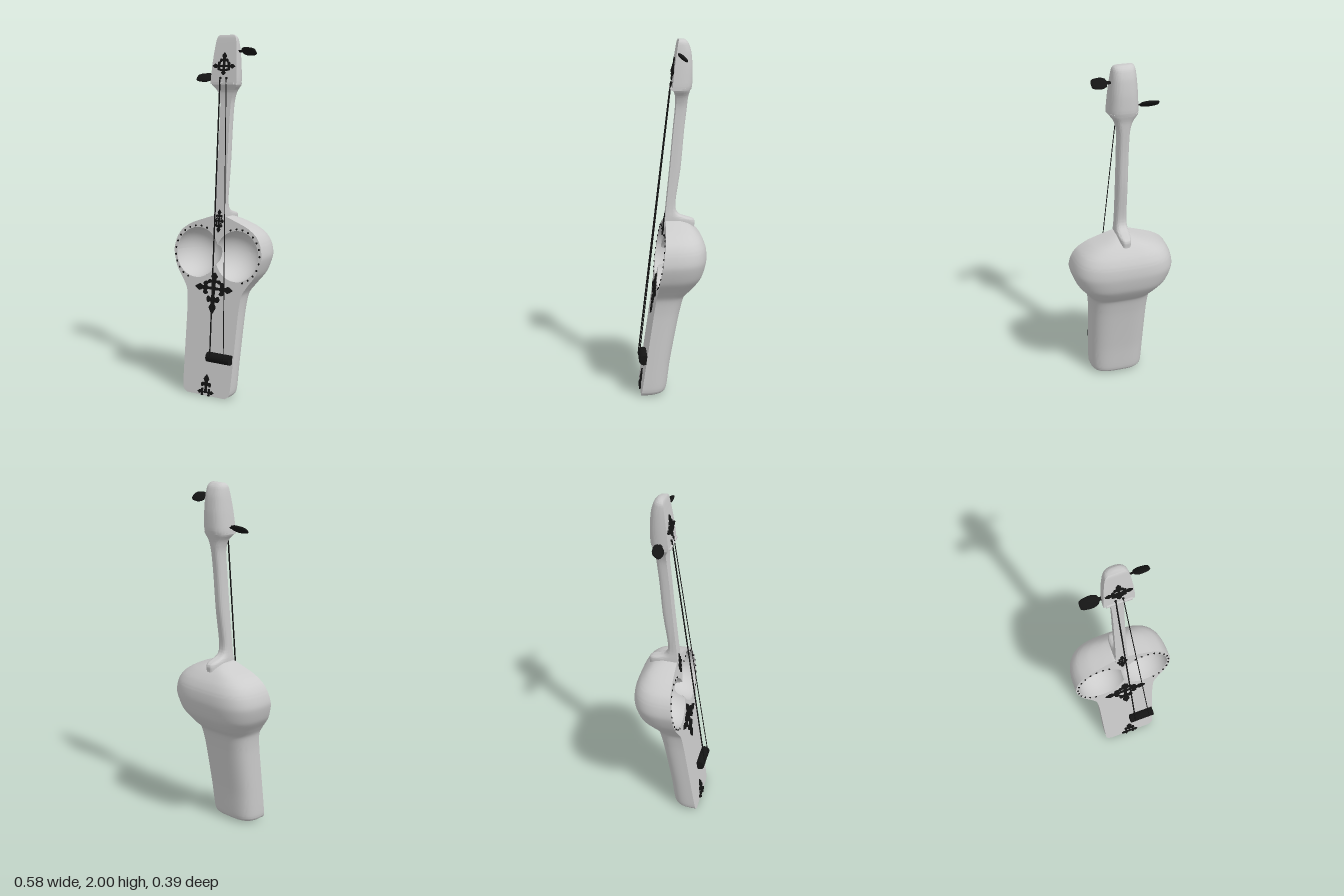
import * as THREE from 'three';
import { toCreasedNormals } from 'three/addons/utils/BufferGeometryUtils.js';

const grey = new THREE.MeshStandardMaterial({ color: 0xcccccc });
const greyThin = new THREE.MeshStandardMaterial({ color: 0xcccccc, side: THREE.DoubleSide });
const black = new THREE.MeshStandardMaterial({ color: 0x141414 });

// The soundboard leans back as it rises
const boardZ = (y) => 0.18 - 0.147 * y;
const lobe = { x: 0.13, y: 0.79, r: 0.14, depth: 0.15 };

function add(parent, name, geometry, material) {
  const mesh = new THREE.Mesh(geometry, material);
  mesh.name = name;
  parent.add(mesh);
  return mesh;
}

// Smooth sections from keys of [height, half width, front z, depth]
function sections(keys, steps) {
  const curve = (f) => new THREE.CatmullRomCurve3(keys.map(f), false, 'catmullrom', 0.4);
  const a = curve((k) => new THREE.Vector3(k[1], k[0], k[2]));
  const b = curve((k) => new THREE.Vector3(k[3], k[0], 0));
  return Array.from({ length: steps + 1 }, (_, i) => {
    const p = a.getPoint(i / steps);
    return { y: p.y, w: p.x, z: p.z, d: b.getPoint(i / steps).x };
  });
}

// Skin over sections with a flat front and a rounded back
function loft(secs, power, closedFront) {
  const n = 32, pos = [], idx = [];
  for (const s of secs) {
    for (let j = 0; j <= n; j++) {
      const t = (j / n) * Math.PI, c = Math.cos(t);
      pos.push(s.w * Math.sign(c) * Math.abs(c) ** power, s.y, s.z - s.d * Math.abs(Math.sin(t)) ** power);
    }
  }
  const row = n + 1, last = secs.length - 1;
  for (let i = 0; i < last; i++) {
    for (let j = 0; j < (closedFront ? row : n); j++) {
      const a = i * row + j, b = i * row + ((j + 1) % row);
      idx.push(a, b, b + row, a, b + row, a + row);
    }
  }
  // End caps
  for (const i of [0, last]) {
    const s = secs[i], centre = pos.length / 3;
    pos.push(0, s.y, s.z - s.d / 2);
    for (let j = 0; j < row; j++) {
      const a = i * row + j, b = i * row + ((j + 1) % row);
      if (i) idx.push(centre, a, b);
      else idx.push(centre, b, a);
    }
  }
  const g = new THREE.BufferGeometry();
  g.setAttribute('position', new THREE.Float32BufferAttribute(pos, 3));
  g.setIndex(idx);
  return toCreasedNormals(g, 0.7);
}

// Soundboard cut to the body outline, with the double opening
function soundboard(secs) {
  const shape = new THREE.Shape([
    ...secs.map((s) => new THREE.Vector2(s.w, s.y)),
    ...secs.slice().reverse().map((s) => new THREE.Vector2(-s.w, s.y)),
  ]);
  const a = Math.acos(-lobe.x / lobe.r), hole = new THREE.Path();
  hole.absarc(lobe.x, lobe.y, lobe.r, -a, a, false);
  hole.absarc(-lobe.x, lobe.y, lobe.r, Math.PI - a, Math.PI + a, false);
  shape.holes.push(hole);
  const g = new THREE.ShapeGeometry(shape, 40);
  const p = g.attributes.position;
  for (let i = 0; i < p.count; i++) p.setZ(i, boardZ(p.getY(i)));
  g.computeVertexNormals();
  return g;
}

// Spherical hollow, cut off at the ridge on the centre line
function hollow(side) {
  const g = new THREE.PlaneGeometry(1, 1, 64, 16);
  const p = g.attributes.position;
  for (let i = 0; i < p.count; i++) {
    const t = (p.getX(i) + 0.5) * Math.PI * 2, c = Math.cos(t);
    const reach = c < 0 ? Math.min(lobe.r, lobe.x / -c) : lobe.r;
    const r = reach * Math.sin((p.getY(i) + 0.5) * Math.PI / 2);
    const y = lobe.y + r * Math.sin(t);
    const dip = lobe.depth * Math.sqrt(Math.max(0, 1 - (r / lobe.r) ** 2));
    p.setXYZ(i, side * (lobe.x + r * c), y, boardZ(y) - dip);
  }
  g.computeVertexNormals();
  return g;
}

// Pointed leaf arm with two side curls, along +y, one unit long
const half = [[0.09, 0], [0.07, 0.3], [0.16, 0.36], [0.28, 0.3], [0.36, 0.42], [0.27, 0.54],
  [0.12, 0.52], [0.1, 0.6], [0.18, 0.74], [0.1, 0.87]];
const leaf = new THREE.Shape();
leaf.moveTo(0.09, 0);
leaf.splineThru([...half.slice(1), [0, 1]].map(([x, y]) => new THREE.Vector2(x, y)));
leaf.splineThru(half.slice().reverse().map(([x, y]) => new THREE.Vector2(-x, y)));
const leafGeometry = new THREE.ExtrudeGeometry(leaf, { depth: 1, bevelEnabled: false, curveSegments: 30 });

// Ornament of leaf arms: [angle, length, width]
function ornament(parent, name, y, z, tilt, arms) {
  const group = new THREE.Group();
  group.name = name;
  group.position.set(0, y, z);
  group.rotation.x = -Math.atan(tilt);
  for (const [angle, length, width] of arms) {
    const arm = add(group, 'leafArm', leafGeometry, black);
    arm.scale.set(width, length, 0.008);
    arm.rotation.z = angle;
  }
  parent.add(group);
}

function rod(parent, name, from, to, radius) {
  const path = new THREE.LineCurve3(new THREE.Vector3(...from), new THREE.Vector3(...to));
  add(parent, name, new THREE.TubeGeometry(path, 1, radius, 8), black);
}

// Flat tuning peg, tilted about its shaft
function peg(parent, name, side, y, z, length) {
  const profile = [[0.009, -0.03], [0.009, 0.014], [0.022, 0.02], [0.031, 0.04], [0.031, 0.06],
    [0.027, 0.085], [0.02, 0.097], [0, 0.1]].map(([r, h]) => new THREE.Vector2(r, h));
  const g = new THREE.LatheGeometry(profile, 20);
  g.scale(1.1, length / 0.1, 0.36);
  g.rotateZ(-side * Math.PI / 2);
  const mesh = add(parent, name, g, black);
  mesh.position.set(side * 0.076, y, z);
  mesh.rotation.x = side * 0.87;
}

export function createModel() {
  const model = new THREE.Group();
  model.name = 'stringedInstrument';

  // Body: narrow lower box swelling into a round bowl
  const bodyKeys = [[0.003, 0.125, 0.115], [0.018, 0.148, 0.137], [0.05, 0.157, 0.145], [0.2, 0.162, 0.143],
    [0.4, 0.167, 0.15], [0.5, 0.171, 0.156], [0.58, 0.182, 0.168], [0.63, 0.212, 0.207], [0.7, 0.262, 0.245],
    [0.79, 0.29, 0.256], [0.86, 0.277, 0.243], [0.91, 0.245, 0.215], [0.95, 0.185, 0.178],
    [0.98, 0.105, 0.14], [1.0, 0.045, 0.09]].map(([y, w, d]) => [y, w, boardZ(y), d]);
  const body = sections(bodyKeys, 84);
  add(model, 'bodyBack', loft(body, 0.6, false), grey);
  add(model, 'soundboard', soundboard(body), greyThin);

  for (const side of [1, -1]) {
    add(model, side > 0 ? 'leftHollow' : 'rightHollow', hollow(side), greyThin);
    // Studs around the opening
    for (let i = 0; i < 13; i++) {
      const t = THREE.MathUtils.degToRad(-70 + i * 15);
      const y = lobe.y + 0.149 * Math.sin(t);
      const stud = add(model, 'rimStud', new THREE.SphereGeometry(0.006, 10, 8), black);
      stud.position.set(side * (lobe.x + 0.149 * Math.cos(t)), y, boardZ(y));
    }
  }

  // Neck with its heel, flaring under the head
  add(model, 'neck', loft(sections([[0.96, 0.037, 0.041, 0.172], [1.003, 0.037, 0.037, 0.165],
    [1.03, 0.036, 0.033, 0.085], [1.06, 0.034, 0.03, 0.058], [1.12, 0.033, 0.024, 0.051],
    [1.3, 0.032, 0.006, 0.06], [1.5, 0.032, -0.012, 0.06], [1.63, 0.035, -0.025, 0.062],
    [1.69, 0.052, -0.026, 0.068], [1.725, 0.078, -0.012, 0.092], [1.74, 0.082, -0.004, 0.105]], 70), 0.6, true), grey);

  // Head
  add(model, 'head', loft(sections([[1.73, 0.084, -0.002, 0.108], [1.76, 0.084, -0.005, 0.111],
    [1.85, 0.078, -0.015, 0.103], [1.93, 0.07, -0.027, 0.084], [1.975, 0.063, -0.034, 0.064],
    [1.992, 0.055, -0.038, 0.048], [2.0, 0.042, -0.042, 0.034]], 36), 0.75, true), grey);
  const nut = add(model, 'nut', new THREE.BoxGeometry(0.14, 0.01, 0.016), grey);
  nut.position.set(0, 1.737, -0.002);
  peg(model, 'leftPeg', 1, 1.91, -0.055, 0.1);
  peg(model, 'rightPeg', -1, 1.765, -0.042, 0.122);

  // Bridge and strings
  rod(model, 'lowString', [-0.02, 1.765, 0], [0.035, 0.225, 0.19], 0.004);
  rod(model, 'highString', [0.02, 1.765, 0], [0.125, 0.225, 0.19], 0.0025);
  for (const x of [-0.02, 0.02]) {
    const pin = add(model, 'stringPin', new THREE.SphereGeometry(0.007, 10, 8), black);
    pin.position.set(x, 1.765, -0.003);
  }
  const bridge = add(model, 'bridge', new THREE.CylinderGeometry(0.028, 0.028, 0.15, 20), black);
  bridge.rotation.z = Math.PI / 2;
  bridge.position.set(0.081, 0.225, 0.163);

  // Ornaments
  const q = Math.PI / 2;
  const cross = (up, down, across, w) => [[0, up, w], [2 * q, down, w], [q, across, w * 0.9], [-q, across, w * 0.9]];
  ornament(model, 'bodyOrnament', 0.6, boardZ(0.6), 0.147, cross(0.09, 0.145, 0.125, 0.115));
  ornament(model, 'neckOrnament', 0.975, boardZ(0.975), 0.13, cross(0.065, 0.065, 0.032, 0.06));
  ornament(model, 'headOrnament', 1.83, -0.013, 0.14, cross(0.075, 0.05, 0.073, 0.075));
  ornament(model, 'baseOrnament', 0.022, boardZ(0.022), 0.147, [[0, 0.1, 0.09], [q, 0.052, 0.06], [-q, 0.052, 0.06]]);
  return model;
}
